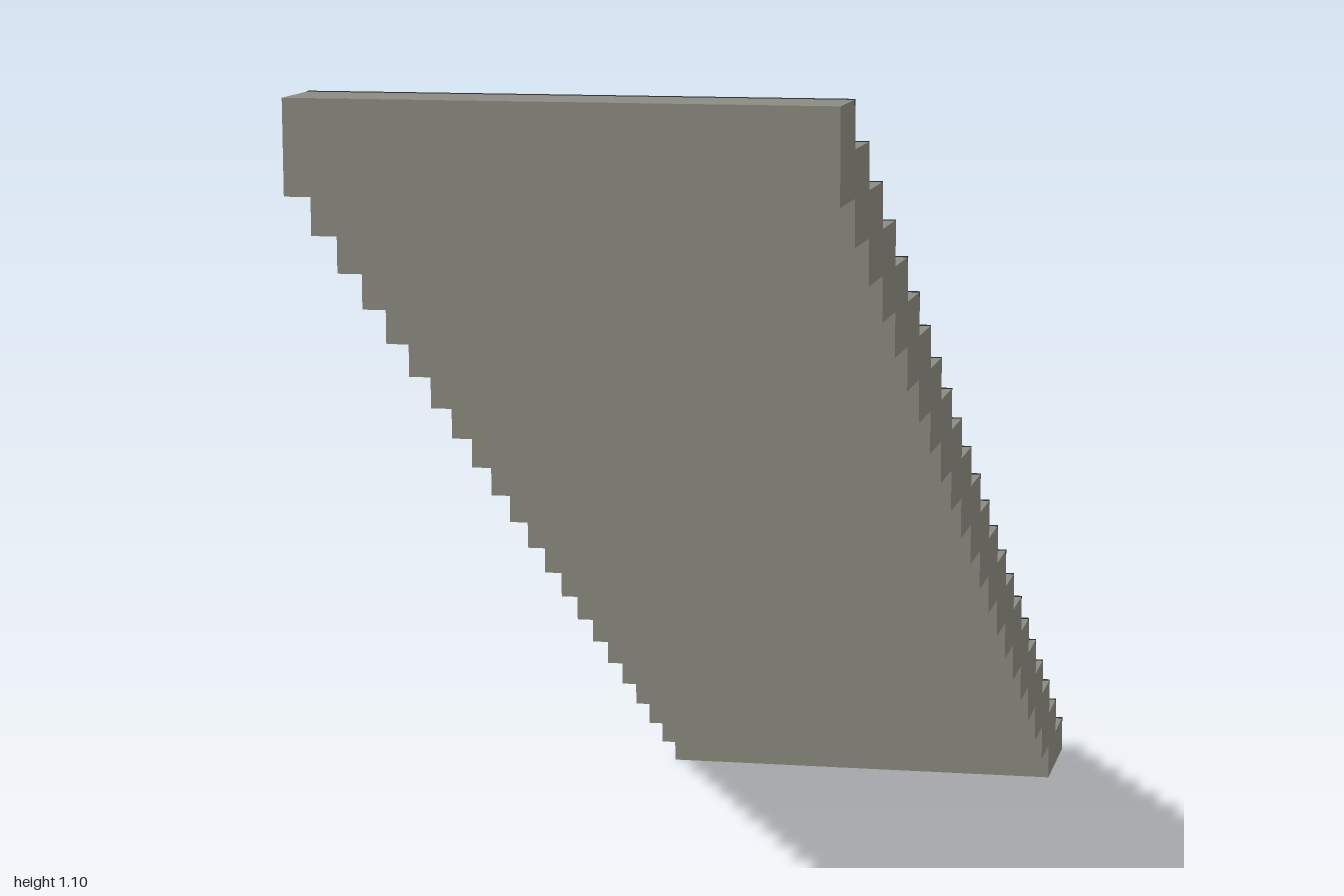
import * as THREE from 'three';

const STEPS = 23, LENGTH = 1.956, WIDTH = 0.547, HEIGHT = 1.1;
const TREAD = LENGTH / STEPS, RISE = HEIGHT / STEPS;

export function createModel() {
  const stone = new THREE.MeshStandardMaterial({ color: 0x8c8b80 });
  stone.name = 'stone';
  const darkEdge = new THREE.MeshStandardMaterial({ color: 0x2c2c28 });
  darkEdge.name = 'dark edge';

  const model = new THREE.Group();
  model.name = 'staircase';

  // Side profile: stepped top, then stepped underside back down
  const profile = new THREE.Shape();
  profile.moveTo(0, 0);
  for (let i = 0; i < STEPS; i++) {
    profile.lineTo(i * TREAD, (i + 1) * RISE);
    profile.lineTo((i + 1) * TREAD, (i + 1) * RISE);
  }
  profile.lineTo(LENGTH, (STEPS - 2) * RISE);
  for (let i = STEPS - 1; i >= 2; i--) {
    profile.lineTo(i * TREAD, (i - 1) * RISE);
    profile.lineTo(i * TREAD, (i - 2) * RISE);
  }
  profile.closePath();

  // Flight climbing towards +z
  const flightGeometry = new THREE.ExtrudeGeometry(profile, { depth: WIDTH, bevelEnabled: false });
  flightGeometry.rotateY(-Math.PI / 2);
  flightGeometry.translate(WIDTH / 2, 0, -LENGTH / 2);
  const flight = new THREE.Mesh(flightGeometry, stone);
  flight.name = 'flight';
  model.add(flight);

  // Thin dark strip along the edge of every tread
  const stripGeometry = new THREE.BoxGeometry(WIDTH, 0.006, 0.006);
  for (let i = 0; i < STEPS; i++) {
    const strip = new THREE.Mesh(stripGeometry, darkEdge);
    strip.name = 'treadEdge';
    strip.position.set(0, (i + 1) * RISE - 0.0025, i * TREAD - LENGTH / 2 + 0.0025);
    model.add(strip);
  }

  // The flight stands slightly turned
  model.rotation.y = 0.1;
  return model;
}
